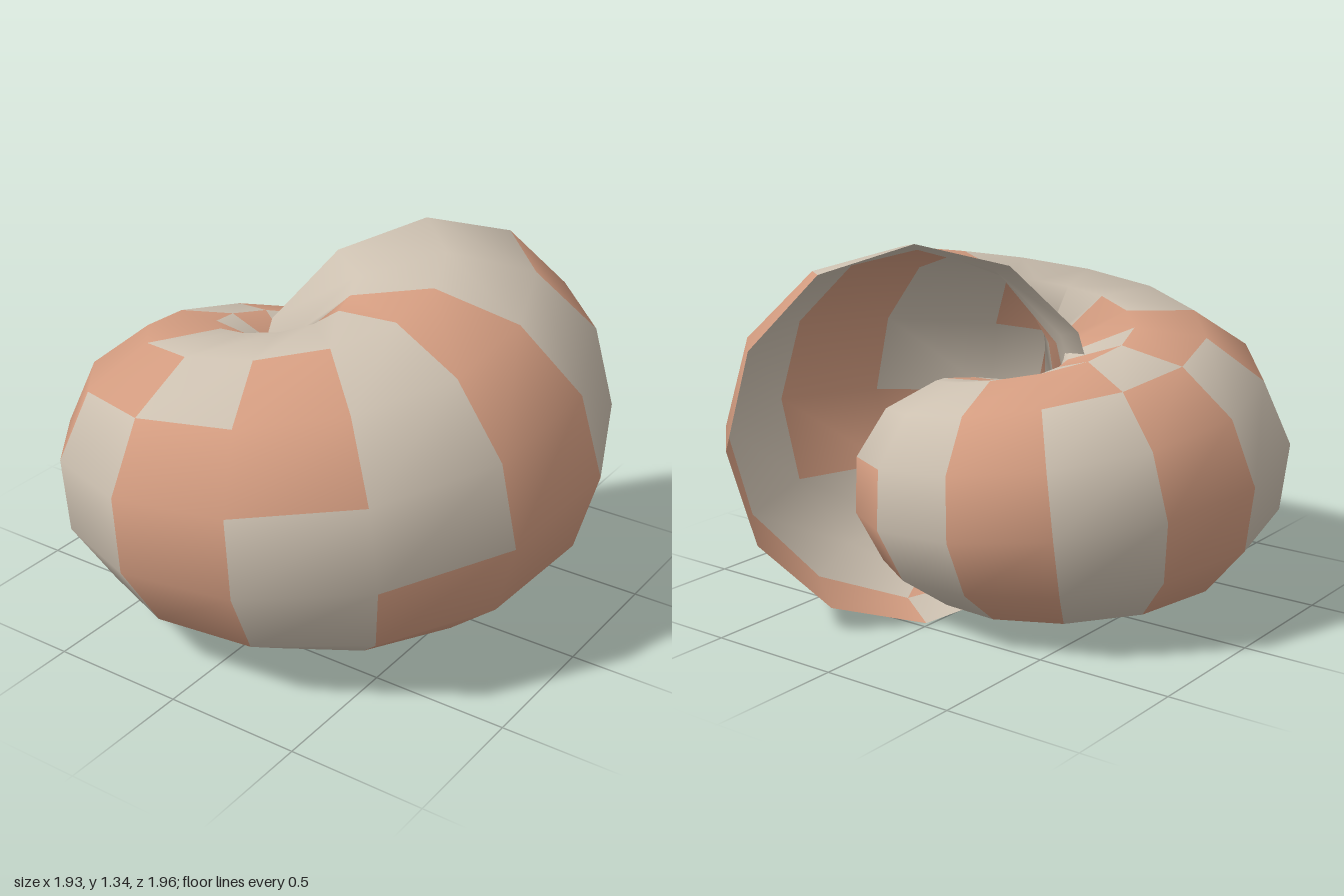
import * as THREE from 'three';

const RINGS = 44;              // rings from the lip inwards
const SIDES = 12;              // sides of each round cross-section
const SHRINK = 0.963;          // size ratio from one ring to the next
const STEP = THREE.MathUtils.degToRad(27.35);
const START = THREE.MathUtils.degToRad(-70.3);
const LIP_RADIUS = 0.67;

// One string per strip between rings, from underside over the outside to the core.
const PATTERN = [
  'ooooo.......',
  '...........o',
  '..ooooooo..o',
  'ooo........o',
  '....oo..o..o',
  'ooooo...o..o',
  '.....o.o....',
  'oooooooo....',
  '......o.....',
  'oooooo.o....',
  '......o.o...',
  'oooooooo....',
  '............',
];

const tubeRadius = (k) => LIP_RADIUS * SHRINK ** k;

// Centre of ring k on a shrinking spiral round a vertical axis
function ringCentre(k) {
  const r = tubeRadius(k);
  const reach = r * 0.791;
  const angle = START + STEP * k;
  return new THREE.Vector3(
    -0.12 + reach * Math.cos(angle),
    r + 0.005 + 0.03 * Math.min(1, k / 6),
    0.06 + reach * Math.sin(angle),
  );
}

export function createModel() {
  const positions = [];
  const bands = { o: [], '.': [] };

  // Cross-sections square to the spiral, slowly twisting along it
  for (let k = 0; k < RINGS; k++) {
    const centre = ringCentre(k);
    const tangent = ringCentre(Math.max(0, k - 1)).sub(ringCentre(k + 1)).normalize();
    const up = new THREE.Vector3(0, 1, 0).addScaledVector(tangent, -tangent.y).normalize();
    const out = new THREE.Vector3().crossVectors(tangent, up);
    const twist = -3.5 * Math.max(0, k - 1.8);
    for (let j = 0; j < SIDES; j++) {
      const a = THREE.MathUtils.degToRad(-90 + 30 * j + twist);
      const p = centre.clone()
        .addScaledVector(out, tubeRadius(k) * Math.cos(a))
        .addScaledVector(up, tubeRadius(k) * Math.sin(a));
      positions.push(p.x, p.y, p.z);
    }
  }

  // Cells between rings, sorted by colour
  for (let k = 0; k < RINGS - 1; k++) {
    for (let j = 0; j < SIDES; j++) {
      const a = k * SIDES + j;
      const b = k * SIDES + (j + 1) % SIDES;
      const c = a + SIDES;
      const d = b + SIDES;
      bands[PATTERN[k % PATTERN.length][j]].push(a, b, c, b, d, c);
    }
  }

  // Normals are smoothed over the whole shell, then shared by both colours
  const shell = new THREE.BufferGeometry();
  shell.setAttribute('position', new THREE.Float32BufferAttribute(positions, 3));
  shell.setIndex([...bands.o, ...bands['.']]);
  shell.computeVertexNormals();

  const group = new THREE.Group();
  group.name = 'spiralShell';
  const addPart = (name, index, color) => {
    const geometry = new THREE.BufferGeometry();
    geometry.setAttribute('position', shell.getAttribute('position'));
    geometry.setAttribute('normal', shell.getAttribute('normal'));
    geometry.setIndex(index);
    const material = new THREE.MeshStandardMaterial({ color, side: THREE.DoubleSide });
    const mesh = new THREE.Mesh(geometry, material);
    mesh.name = name;
    group.add(mesh);
  };
  addPart('terracottaPatches', bands.o, 0xd39c80);
  addPart('creamPatches', bands['.'], 0xccc0b0);
  return group;
}
